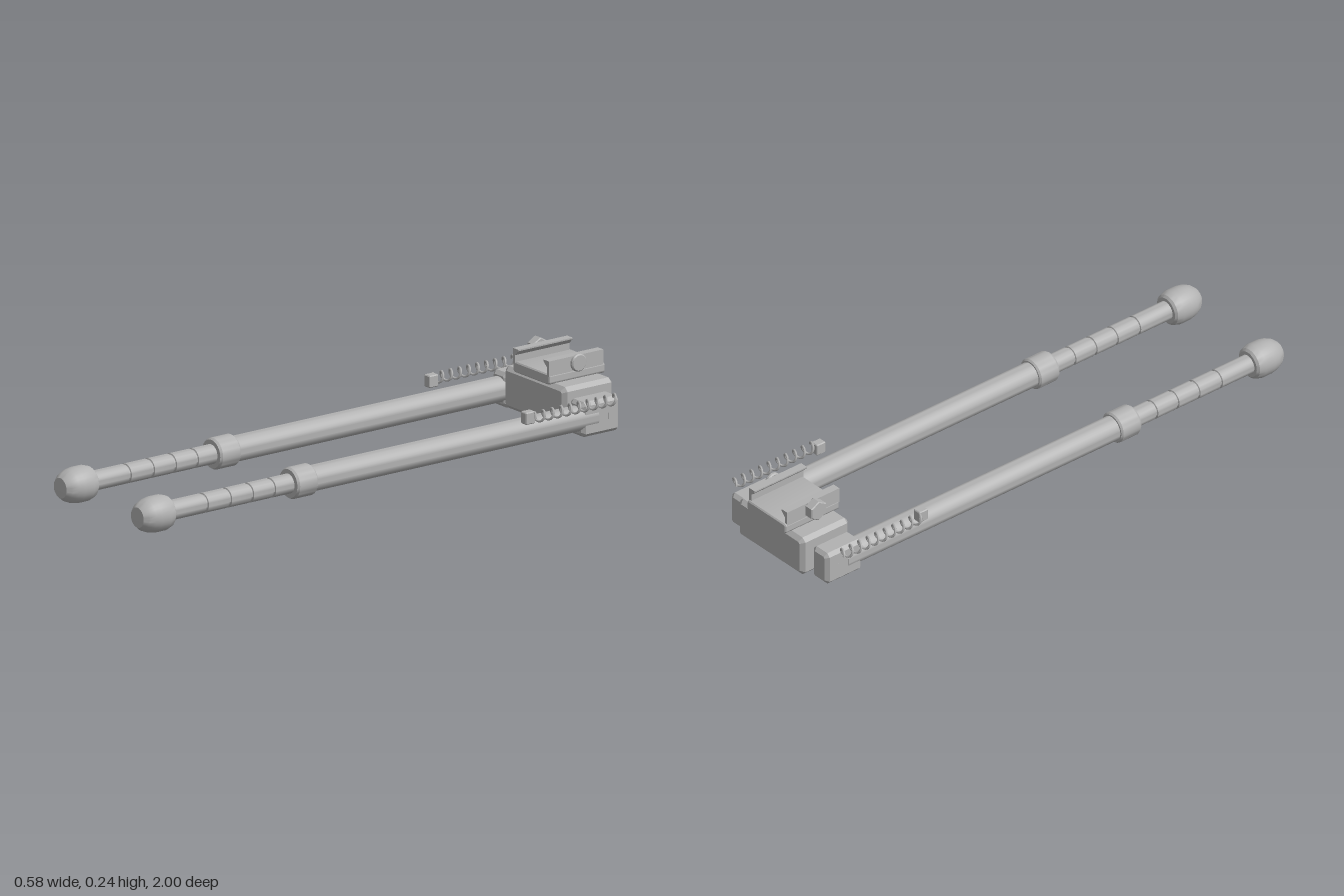
import * as THREE from 'three';
import { toCreasedNormals } from 'three/addons/utils/BufferGeometryUtils.js';

const metal = new THREE.MeshStandardMaterial({ color: 0xb2b2b2 });
metal.name = 'grey metal';

function add(parent, name, geometry, x = 0, y = 0, z = 0) {
  const mesh = new THREE.Mesh(geometry, metal);
  mesh.name = name;
  mesh.position.set(x, y, z);
  parent.add(mesh);
  return mesh;
}

// Extrudes a shape along z, centred, with a chamfer inside the given depth
function extrude(shape, depth, chamfer, curveSegments = 6) {
  const g = new THREE.ExtrudeGeometry(shape, {
    depth: depth - 2 * chamfer, bevelEnabled: chamfer > 0, bevelSegments: 1,
    bevelSize: chamfer, bevelThickness: chamfer, bevelOffset: -chamfer, curveSegments,
  });
  g.translate(0, 0, -depth / 2 + chamfer);
  return g;
}

// Box with every edge cut at 45 degrees
function chamferBox(w, h, d, c) {
  const x = w / 2, y = h / 2;
  const shape = new THREE.Shape([
    [-x + c, -y], [x - c, -y], [x, -y + c], [x, y - c],
    [x - c, y], [-x + c, y], [-x, y - c], [-x, -y + c],
  ].map(p => new THREE.Vector2(...p)));
  return extrude(shape, d, c);
}

function roundedRect(w, h, r) {
  const x = w / 2, y = h / 2, s = new THREE.Shape();
  s.absarc(x - r, -y + r, r, -Math.PI / 2, 0);
  s.absarc(x - r, y - r, r, 0, Math.PI / 2);
  s.absarc(-x + r, y - r, r, Math.PI / 2, Math.PI);
  s.absarc(-x + r, -y + r, r, Math.PI, Math.PI * 1.5);
  return s;
}

// Turned part along z from [radius, z] pairs
function turned(points, segments = 32) {
  const g = new THREE.LatheGeometry(points.map(p => new THREE.Vector2(...p)), segments);
  g.rotateX(Math.PI / 2);
  return toCreasedNormals(g, 0.4);
}

class Helix extends THREE.Curve {
  constructor(radius, length, turns) {
    super();
    Object.assign(this, { radius, length, turns });
  }
  getPoint(t, target = new THREE.Vector3()) {
    const a = t * this.turns * Math.PI * 2;
    return target.set(this.radius * Math.cos(a), this.radius * Math.sin(a), -this.length * t);
  }
}

function createLeg(side) {
  const leg = new THREE.Group();
  leg.name = side > 0 ? 'leftLeg' : 'rightLeg';
  leg.position.set(side * 0.205, 0.062, 0);

  add(leg, 'outerTube', turned([[0, -0.86], [0.043, -0.86], [0.043, 0.3], [0, 0.3]]));
  add(leg, 'collar', turned([
    [0, 0.295], [0.048, 0.295], [0.053, 0.301], [0.053, 0.372], [0.048, 0.38], [0, 0.38],
  ]));

  // Extending tube with locking grooves
  const profile = [[0, 0.37], [0.033, 0.37]];
  for (const z of [0.46, 0.55, 0.64, 0.735]) {
    profile.push([0.033, z - 0.005], [0.029, z - 0.003], [0.029, z + 0.003], [0.033, z + 0.005]);
  }
  profile.push([0.033, 0.89], [0, 0.89]);
  add(leg, 'innerTube', turned(profile));

  add(leg, 'foot', turned([
    [0, 0.873], [0.045, 0.873], [0.053, 0.88], [0.06, 0.902], [0.06, 0.94],
    [0.056, 0.962], [0.047, 0.983], [0.034, 0.998], [0, 1],
  ]));

  // Hinge block and the pin that joins it to the body
  add(leg, 'hingeBlock', chamferBox(0.078, 0.118, 0.153, 0.012), 0, 0, -0.872);
  const pin = new THREE.CylinderGeometry(0.03, 0.03, 0.09, 24).rotateZ(Math.PI / 2);
  add(leg, 'hingePin', pin, -side * 0.035, 0, -0.872);
  add(leg, 'hingeSlot', new THREE.BoxGeometry(0.004, 0.022, 0.005), side * 0.0385, 0, -0.9);

  // Return spring beside the tube with its anchor
  add(leg, 'springAnchor', chamferBox(0.03, 0.041, 0.038, 0.003), side * 0.052, 0.061, -0.56);
  const coil = new THREE.TubeGeometry(new Helix(0.017, 0.345, 9.5), 200, 0.0042, 6);
  add(leg, 'spring', coil, side * 0.065, 0.061, -0.568);
  return leg;
}

export function createModel() {
  const model = new THREE.Group();
  model.name = 'bipod';

  for (const side of [-1, 1]) model.add(createLeg(side));

  // Central body
  add(model, 'body', chamferBox(0.326, 0.143, 0.205, 0.014), 0, 0.0835, -0.883);

  // Rail clamp
  const clamp = new THREE.Group();
  clamp.name = 'railClamp';
  model.add(clamp);
  const plate = toCreasedNormals(extrude(roundedRect(0.193, 0.036, 0.009), 0.23, 0.004), 0.5);
  add(clamp, 'clampPlate', plate, 0, 0.17, -0.885);

  // Hooked jaws, mirrored by reversing the outline
  for (const side of [-1, 1]) {
    const pts = [
      [0.084, 0.18], [0.096, 0.18], [0.096, 0.233], [0.067, 0.233], [0.067, 0.228], [0.084, 0.211],
    ].map(([x, y]) => new THREE.Vector2(side * x, y));
    if (side < 0) pts.reverse();
    add(clamp, 'clampJaw', extrude(new THREE.Shape(pts), 0.222, 0), 0, 0, -0.881);
  }

  // Clamp bolt head on one side, nut on the other
  const head = turned([
    [0, 0], [0.026, 0], [0.03, 0.004], [0.03, 0.011], [0.026, 0.015], [0, 0.015],
  ]);
  head.rotateY(Math.PI / 2);
  add(clamp, 'boltHead', head, 0.095, 0.21, -0.885);

  const hex = new THREE.Shape();
  for (let i = 0; i < 6; i++) {
    const a = Math.PI / 2 + i * Math.PI / 3;
    const x = 0.036 * Math.cos(a), y = 0.036 * Math.sin(a);
    if (i) hex.lineTo(x, y); else hex.moveTo(x, y);
  }
  const nut = extrude(hex, 0.034, 0.003);
  nut.rotateY(Math.PI / 2);
  add(clamp, 'nut', nut, -0.113, 0.21, -0.885);

  return model;
}
